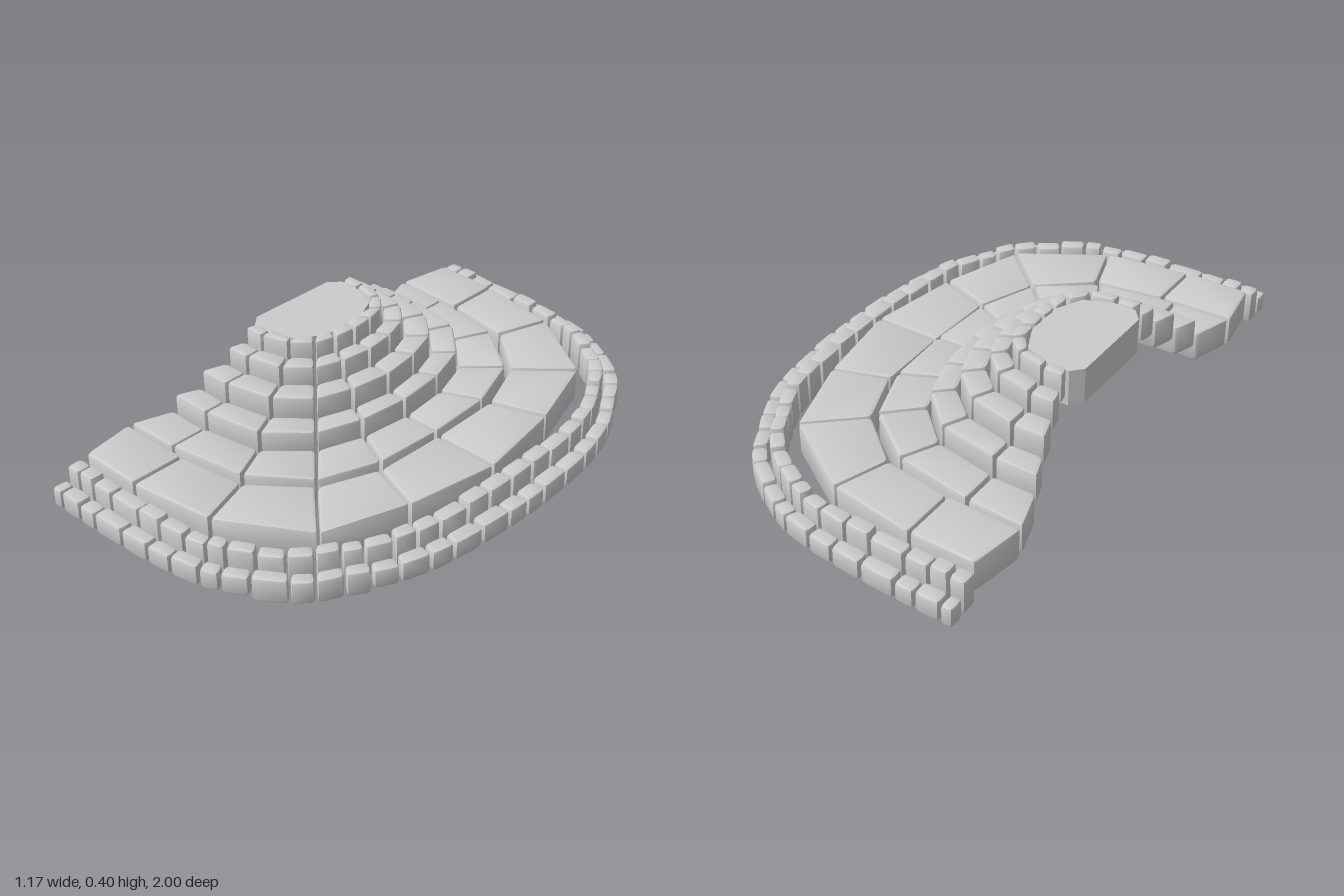
import * as THREE from 'three';
import { toCreasedNormals } from 'three/addons/utils/BufferGeometryUtils.js';

const material = new THREE.MeshStandardMaterial({ color: 0xcccccc });

// Outline in (x, z) with softly rounded corners
function roundedOutline(points, radius) {
  const shape = new THREE.Shape();
  const n = points.length;
  points.forEach((p, i) => {
    const toward = (q) => {
      const d = q.clone().sub(p);
      return d.setLength(Math.min(radius, d.length() * 0.3)).add(p);
    };
    const a = toward(points[(i + n - 1) % n]);
    const b = toward(points[(i + 1) % n]);
    if (i === 0) shape.moveTo(a.x, a.y);
    else shape.lineTo(a.x, a.y);
    shape.quadraticCurveTo(p.x, p.y, b.x, b.y);
  });
  shape.closePath();
  return shape;
}

// Bevelled paving stone between heights y0 and y1, with a narrow joint around it
function stone(name, points, y0, y1, bevel = 0.01, gap = 0.004) {
  const geometry = new THREE.ExtrudeGeometry(roundedOutline(points, 0.018), {
    depth: y1 - y0 - 2 * bevel,
    bevelSize: bevel,
    bevelThickness: bevel,
    bevelOffset: -bevel - gap,
    bevelSegments: 2,
    curveSegments: 2,
  });
  geometry.rotateX(Math.PI / 2);
  geometry.translate(0, y1 - bevel, 0);
  const mesh = new THREE.Mesh(toCreasedNormals(geometry, 0.7), material);
  mesh.name = name;
  return mesh;
}

// One row of stones between two lists of joint points, on side +1 or -1
function row(name, inner, outer, side, heights) {
  const group = new THREE.Group();
  group.name = name;
  const flip = (p) => new THREE.Vector2(p.x, p.y * side);
  for (let i = 0; i < inner.length - 1; i++) {
    const quad = [inner[i], inner[i + 1], outer[i + 1], outer[i]].map(flip);
    const [y0, y1] = heights(i);
    group.add(stone(name + 'Stone', quad, y0, y1));
  }
  return group;
}

const vectors = (list) => list.map(([x, z]) => new THREE.Vector2(x, z));

// Step joints: an end point, then points on rays fanning out from the landing
const fan = [90, 65, 44, 24, 0];
function stepLine(endX, endZ, radii) {
  const points = [new THREE.Vector2(endX, endZ)];
  fan.forEach((deg, i) => {
    const a = THREE.MathUtils.degToRad(deg);
    points.push(new THREE.Vector2(-0.38 + radii[i] * Math.cos(a), radii[i] * Math.sin(a)));
  });
  return points;
}

const stepLines = [
  stepLine(-0.45, 0.2, [0.2, 0.2, 0.18, 0.15, 0.14]),
  stepLine(-0.46, 0.25, [0.25, 0.245, 0.235, 0.21, 0.2]),
  stepLine(-0.475, 0.32, [0.32, 0.32, 0.305, 0.28, 0.27]),
  stepLine(-0.505, 0.415, [0.415, 0.415, 0.4, 0.365, 0.355]),
  stepLine(-0.54, 0.51, [0.51, 0.52, 0.495, 0.45, 0.43]),
  stepLine(-0.588, 0.66, [0.655, 0.67, 0.665, 0.61, 0.57]),
];
const stepTops = [0.405, 0.353, 0.293, 0.225, 0.163];

// Broad lowest terrace
const terraceInner = vectors([
  [-0.59, 0.665], [-0.32, 0.658], [-0.075, 0.622], [0.105, 0.472], [0.185, 0.268], [0.192, 0],
]);
const terraceOuter = vectors([
  [-0.557, 0.868], [-0.32, 0.865], [-0.01, 0.82], [0.285, 0.635], [0.385, 0.335], [0.44, 0],
]);

// Border curves
const curbOuter = new THREE.SplineCurve(vectors([
  [-0.572, 1.003], [-0.37, 1], [-0.12, 0.985], [0.07, 0.955], [0.2, 0.895], [0.355, 0.785],
  [0.43, 0.665], [0.51, 0.53], [0.558, 0.37], [0.58, 0.185], [0.588, 0],
]));
const curbInner = new THREE.SplineCurve(vectors([
  [-0.572, 0.874], [-0.37, 0.872], [-0.12, 0.865], [0.03, 0.845], [0.14, 0.795], [0.27, 0.705],
  [0.34, 0.6], [0.405, 0.48], [0.435, 0.345], [0.448, 0.18], [0.452, 0],
]));

// Joint positions along a border row, small stones first and wider ones later
function jointsAlong(count, phase) {
  const widths = Array.from({ length: count }, (_, i) =>
    0.6 + 0.5 * Math.min(1, i / 7) + 0.15 * Math.sin(i * 2.4 + phase));
  const total = widths.reduce((a, b) => a + b, 0);
  let sum = 0;
  return [0, ...widths.map((w) => (sum += w) / total)];
}

function curbRow(name, from, to, count, phase, side, heights) {
  const at = (t, mix) => curbInner.getPoint(t).lerp(curbOuter.getPoint(t), mix);
  const joints = jointsAlong(count, phase);
  return row(name, joints.map((t) => at(t, from)), joints.map((t) => at(t, to)), side, heights);
}

export function createModel() {
  const model = new THREE.Group();
  model.name = 'curvedStoneSteps';

  // Landing slab at the top
  const half = [[-0.49, 0.165], [-0.455, 0.205], [-0.37, 0.205], [-0.28, 0.165], [-0.235, 0.07]];
  const outline = vectors([...half, ...half.map(([x, z]) => [x, -z]).reverse()]);
  const slabGeometry = new THREE.ExtrudeGeometry(new THREE.Shape(outline), {
    depth: 0.13, bevelEnabled: false,
  });
  slabGeometry.rotateX(Math.PI / 2);
  slabGeometry.translate(0, 0.392, 0);
  const slab = new THREE.Mesh(slabGeometry, material);
  slab.name = 'landingSlab';
  model.add(slab);

  for (const side of [1, -1]) {
    const wing = new THREE.Group();
    wing.name = side > 0 ? 'frontWing' : 'backWing';

    // Fanned steps
    stepTops.forEach((top, i) => {
      wing.add(row('step', stepLines[i], stepLines[i + 1], side, (k) => {
        const y = top - (k === 0 ? 0.004 : 0);
        return [y - 0.11, y];
      }));
    });

    // Terrace, dipping slightly away from the ends
    wing.add(row('terrace', terraceInner, terraceOuter, side, (k) => [0.042 - k * 0.002, 0.156 - k * 0.002]));

    // Raised inner border and low outer border
    wing.add(curbRow('innerBorder', 0, 0.5, 19, 1.3, side,
      (k) => [0.02, 0.137 + 0.006 * Math.sin(k * 1.9)]));
    wing.add(curbRow('outerBorder', 0.5, 1, 19, 0, side,
      (k) => [k > 8 && k < 13 ? 0.001 : 0.015, 0.086 + 0.003 * Math.sin(k * 2.3)]));
    model.add(wing);
  }
  return model;
}
